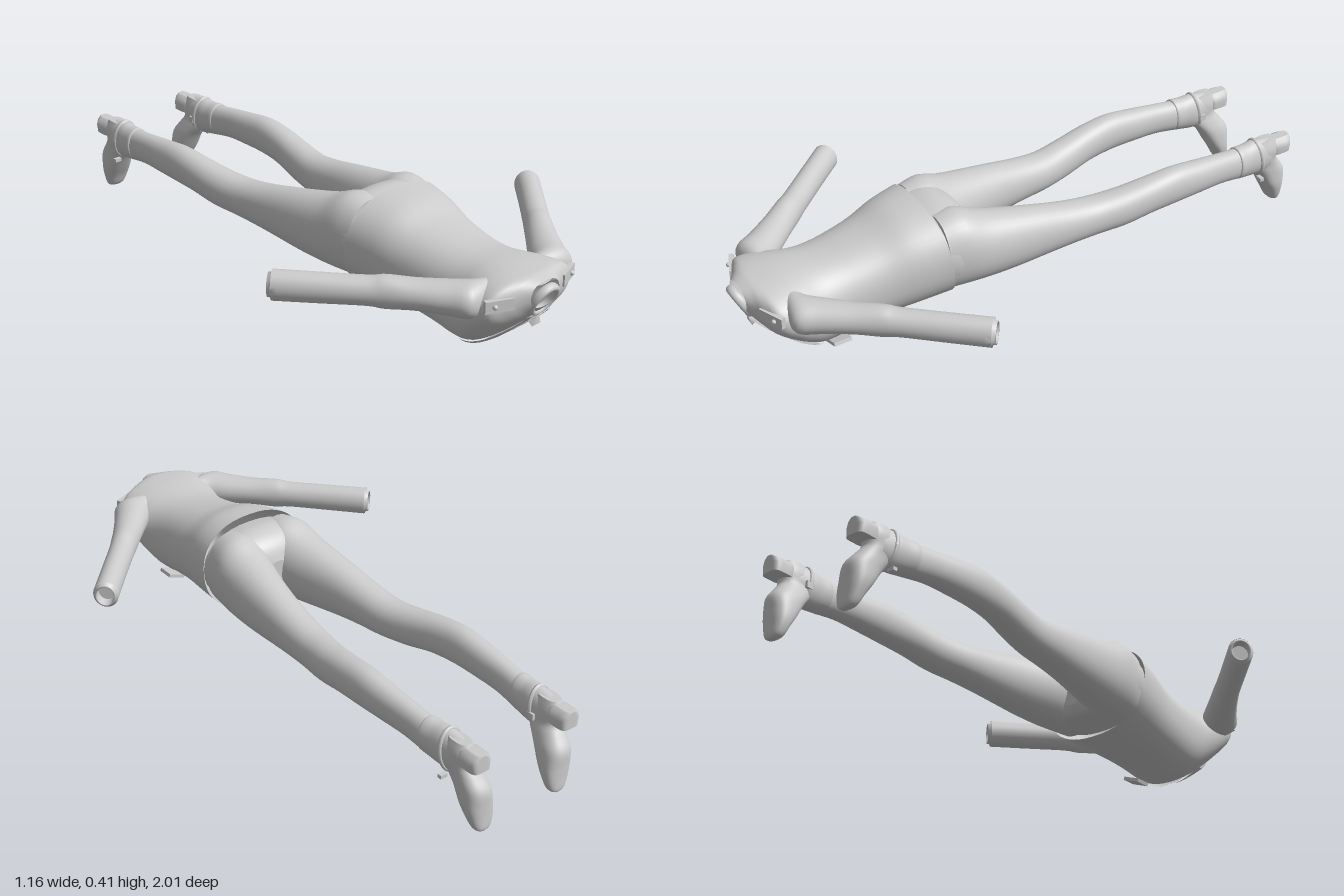
import * as THREE from 'three';

const grey = new THREE.MeshStandardMaterial({ color: 0xcccccc, side: THREE.DoubleSide });
const V = (x, y, z) => new THREE.Vector3(x, y, z);

// Catmull-Rom sampling of rows of numbers, t from 0 to rows.length - 1
function sample(rows, t) {
  const i = Math.min(Math.floor(t), rows.length - 2), f = t - i;
  const at = k => rows[Math.max(0, Math.min(rows.length - 1, k))];
  return rows[i].map((b, c) => {
    const a = at(i - 1)[c], d = at(i + 1)[c], e = at(i + 2)[c];
    return b + 0.5 * f * (d - a + f * (2 * a - 5 * b + 4 * d - e + f * (3 * (b - d) + e - a)));
  });
}
function refine(rows, steps) {
  const out = [];
  for (let i = 0; i <= (rows.length - 1) * steps; i++) out.push(sample(rows, i / steps));
  return out;
}

// Skin over superellipse rings; each ring is { c, u, v } with u x v along the travel
function loft(rings, { n = 2, sides = 36, capStart = false, capEnd = false } = {}) {
  const pos = [], index = [];
  const pt = (r, j) => {
    const a = (j / sides) * Math.PI * 2, co = Math.cos(a), si = Math.sin(a);
    return r.c.clone()
      .addScaledVector(r.u, Math.sign(co) * Math.abs(co) ** (2 / n))
      .addScaledVector(r.v, Math.sign(si) * Math.abs(si) ** (2 / n));
  };
  for (const r of rings) for (let j = 0; j < sides; j++) pos.push(...pt(r, j).toArray());
  for (let i = 0; i < rings.length - 1; i++) for (let j = 0; j < sides; j++) {
    const k = (j + 1) % sides, a = i * sides + j, b = i * sides + k;
    index.push(a, b, a + sides, b, b + sides, a + sides);
  }
  const cap = (r, flip) => {
    const base = pos.length / 3;
    pos.push(...r.c.toArray());
    for (let j = 0; j < sides; j++) pos.push(...pt(r, j).toArray());
    for (let j = 0; j < sides; j++) {
      const a = base + 1 + j, b = base + 1 + (j + 1) % sides;
      index.push(base, flip ? b : a, flip ? a : b);
    }
  };
  if (capStart) cap(rings[0], true);
  if (capEnd) cap(rings[rings.length - 1], false);
  const g = new THREE.BufferGeometry();
  g.setAttribute('position', new THREE.Float32BufferAttribute(pos, 3));
  g.setIndex(index);
  g.computeVertexNormals();
  return g;
}

function mirrored(g) {
  const m = g.clone().applyMatrix4(new THREE.Matrix4().makeScale(-1, 1, 1));
  const ix = m.index.array;
  for (let i = 0; i < ix.length; i += 3) [ix[i], ix[i + 1]] = [ix[i + 1], ix[i]];
  m.computeVertexNormals();
  return m;
}

// Ring in the xy plane: z, bottom, top, inner x, outer x, lean of the ring in z
const zRing = ([z, yb, yt, x0, x1, lean = 0]) => ({
  c: V((x0 + x1) / 2, (yb + yt) / 2, z), u: V((x1 - x0) / 2, 0, 0), v: V(0, (yt - yb) / 2, lean),
});

// Jacket: z, bottom, top, half width, lean
const JACKET = [
  [0.348, 0.085, 0.408, 0.205, 0.02], [0.45, 0.075, 0.393, 0.186, 0.01], [0.55, 0.068, 0.36, 0.166, 0],
  [0.65, 0.056, 0.338, 0.155, 0], [0.72, 0.045, 0.33, 0.154, 0], [0.77, 0.05, 0.33, 0.16, 0],
  [0.82, 0.082, 0.333, 0.174, 0], [0.87, 0.125, 0.334, 0.185, 0], [0.92, 0.17, 0.332, 0.176, 0],
  [0.945, 0.195, 0.33, 0.13, 0], [0.962, 0.215, 0.325, 0.09, 0], [0.98, 0.235, 0.318, 0.06, 0],
];
const JN = 2.3;

// Height of the chest side of the jacket at x, z
function chestY(x, z) {
  let i = 0;
  while (i < JACKET.length - 2 && JACKET[i + 1][0] < z) i++;
  const t = (z - JACKET[i][0]) / (JACKET[i + 1][0] - JACKET[i][0]);
  const [, b, top, w] = sample(JACKET, i + t);
  const k = Math.max(0, 1 - Math.min(1, Math.abs(x) / w) ** JN) ** (1 / JN);
  return (b + top) / 2 - ((top - b) / 2) * k;
}

// Cloth strip laid on the chest between two x edges, each [at collar, at chest]
function chestStrip(xa, xb, zTop, zEnd, lift) {
  const g = new THREE.PlaneGeometry(1, 1, 8, 24), p = g.attributes.position;
  for (let i = 0; i < p.count; i++) {
    const s = p.getX(i) + 0.5, t = 0.5 - p.getY(i);
    const x = THREE.MathUtils.lerp(xa[0] + (xa[1] - xa[0]) * t, xb[0] + (xb[1] - xb[0]) * t, s);
    const z = zTop + (zEnd - zTop) * t;
    p.setXYZ(i, x, chestY(x, z) - lift, z + lift * 0.7);
  }
  g.computeVertexNormals();
  return g;
}

export function createModel() {
  const model = new THREE.Group();
  const add = (name, g) => {
    const m = new THREE.Mesh(g, grey);
    m.name = name;
    model.add(m);
  };
  const pair = (name, g) => {
    add(name + 'Left', g);
    add(name + 'Right', mirrored(g));
  };

  // Jacket, open at the hem and the neck
  add('jacket', loft(refine(JACKET, 5).map(([z, b, t, w, l]) => zRing([z, b, t, -w, w, l])), { n: JN, sides: 48 }));

  // Collar and recessed neck
  const collar = new THREE.TorusGeometry(0.045, 0.009, 12, 36);
  collar.scale(1, 1.15, 1.6).rotateX(0.46).translate(0, 0.255, 0.974);
  add('collar', collar);
  add('neck', new THREE.CircleGeometry(0.047, 32).scale(1, 1.15, 1).rotateX(0.46).translate(0, 0.256, 0.962));

  // Lapels, tie and knot
  pair('lapel', chestStrip([0.03, 0.025], [0.052, 0.125], 0.957, 0.765, 0.008));
  add('tie', chestStrip([-0.012, -0.02], [0.012, 0.02], 0.95, 0.77, 0.005));
  add('tieKnot', new THREE.ConeGeometry(0.026, 0.04, 4).rotateY(Math.PI / 4).rotateX(0.6).translate(0, 0.19, 0.95));

  // Shoulder boards with buttons
  pair('shoulderBoard', new THREE.BoxGeometry(0.09, 0.038, 0.016).rotateY(0.39).translate(0.145, 0.27, 0.936));
  pair('shoulderButton', new THREE.SphereGeometry(0.008, 16, 10).translate(0.163, 0.27, 0.939));

  // Ribbon bar on the chest
  add('ribbonBar', new THREE.BoxGeometry(0.065, 0.012, 0.06).rotateZ(0.35).translate(0.105, 0.06, 0.71));

  // Sleeves: x, y, z, horizontal radius, vertical radius
  const path = refine([
    [0.1, 0.265, 0.86, 0.05, 0.048], [0.165, 0.265, 0.853, 0.064, 0.056], [0.21, 0.265, 0.8, 0.058, 0.052],
    [0.27, 0.267, 0.727, 0.05, 0.048], [0.325, 0.268, 0.662, 0.045, 0.052], [0.36, 0.268, 0.622, 0.043, 0.046],
    [0.45, 0.268, 0.522, 0.042, 0.047], [0.545, 0.268, 0.415, 0.042, 0.048],
  ], 4);
  const d = V(0.66, 0, -0.75).normalize(), across = V(0, 1, 0).cross(d);
  const armRing = (c, ru, rv) => ({ c, u: across.clone().multiplyScalar(ru), v: V(0, rv, 0) });
  const wrist = V(0.545, 0.268, 0.415);
  const along = s => wrist.clone().addScaledVector(d, s);
  pair('sleeve', loft(path.map(([x, y, z, a, b]) => armRing(V(x, y, z), a, b))));
  pair('cuff', loft([
    armRing(along(-0.02), 0.042, 0.047), armRing(along(0), 0.042, 0.047), armRing(along(0.001), 0.034, 0.038),
    armRing(along(0.012), 0.034, 0.038), armRing(along(0.012), 0.029, 0.033), armRing(along(-0.025), 0.029, 0.033),
  ], { capEnd: true }));

  // Trousers: seat and legs
  add('trouserSeat', loft(refine([
    [0.205, 0.16, 0.3, -0.05, 0.05], [0.225, 0.13, 0.345, -0.13, 0.13], [0.26, 0.12, 0.375, -0.185, 0.185],
    [0.31, 0.115, 0.388, -0.2, 0.2], [0.37, 0.115, 0.38, -0.19, 0.19],
  ], 4).map(zRing), { n: 2.3, capStart: true, capEnd: true }));
  pair('trouserLeg', loft(refine([
    [-0.88, 0.158, 0.285, 0.142, 0.212], [-0.8, 0.17, 0.285, 0.14, 0.22], [-0.7, 0.185, 0.295, 0.145, 0.226],
    [-0.6, 0.187, 0.306, 0.143, 0.235], [-0.5, 0.185, 0.315, 0.14, 0.24], [-0.4, 0.178, 0.305, 0.13, 0.238],
    [-0.3, 0.16, 0.29, 0.112, 0.23], [-0.2, 0.152, 0.283, 0.092, 0.217], [-0.1, 0.146, 0.295, 0.08, 0.213],
    [0, 0.137, 0.315, 0.065, 0.212], [0.1, 0.127, 0.335, 0.043, 0.212], [0.2, 0.12, 0.358, 0.016, 0.21],
    [0.28, 0.118, 0.388, 0, 0.205], [0.35, 0.12, 0.38, 0.005, 0.192],
  ], 4).map(zRing), { n: 2.15, capEnd: true }));

  // Boot shafts with a strap and buckle
  pair('bootShaft', loft(refine([
    [-0.91, 0.16, 0.286, 0.138, 0.213], [-0.85, 0.162, 0.294, 0.133, 0.22], [-0.81, 0.168, 0.291, 0.136, 0.223],
    [-0.775, 0.174, 0.293, 0.137, 0.227], [-0.77, 0.18, 0.287, 0.145, 0.22],
  ], 4).map(zRing)));
  pair('bootStrap', new THREE.TorusGeometry(0.044, 0.005, 8, 32).scale(1, 1.5, 1.5).rotateX(0.15).translate(0.176, 0.227, -0.865));
  pair('bootBuckle', new THREE.BoxGeometry(0.012, 0.022, 0.022).translate(0.133, 0.215, -0.875));
  pair('bootClasp', new THREE.BoxGeometry(0.025, 0.012, 0.015).translate(0.208, 0.15, -0.87));

  // Feet, toes pointing down: y, sole z, instep z, centre x, half width
  const footRing = ([y, z0, z1, cx, w]) => ({ c: V(cx, y, (z0 + z1) / 2), u: V(0, 0, (z1 - z0) / 2), v: V(w, 0, 0) });
  pair('foot', loft(refine([
    [0, -0.995, -0.978, 0.15, 0.014], [0.012, -1, -0.96, 0.15, 0.031], [0.05, -1, -0.94, 0.152, 0.044],
    [0.09, -1, -0.915, 0.156, 0.049], [0.14, -0.998, -0.885, 0.16, 0.046], [0.18, -0.97, -0.855, 0.167, 0.04],
    [0.21, -0.95, -0.84, 0.174, 0.037], [0.25, -0.955, -0.84, 0.176, 0.037], [0.285, -0.94, -0.86, 0.176, 0.024],
  ], 4).map(footRing), { n: 2.5, capStart: true, capEnd: true }));
  pair('heel', loft([
    [0.222, -1, -0.925, 0.174, 0.034], [0.25, -1, -0.92, 0.175, 0.037], [0.268, -1, -0.92, 0.175, 0.031],
    [0.278, -1, -0.92, 0.175, 0.016],
  ].map(footRing), { n: 4, capStart: true, capEnd: true }));

  return model;
}
